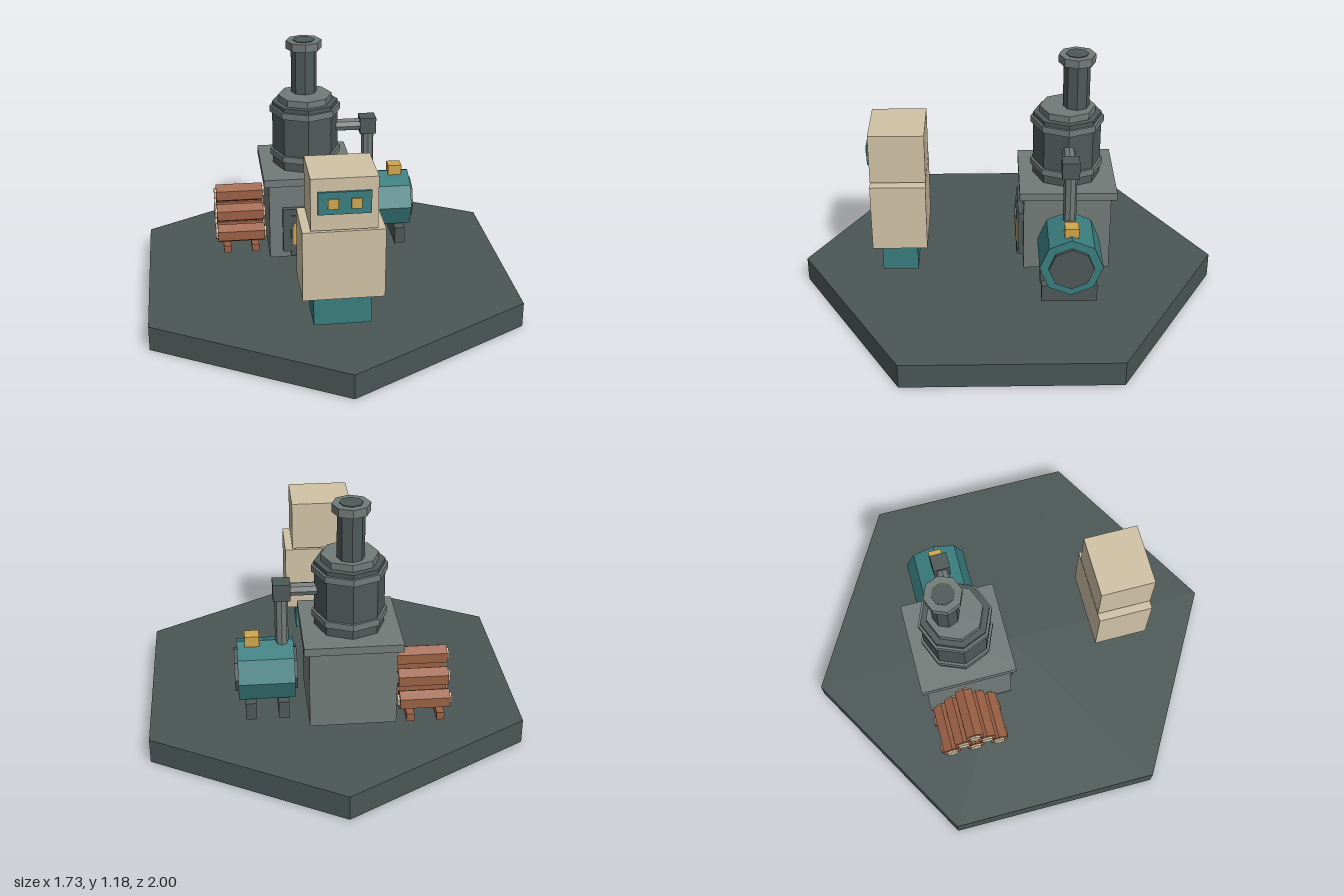
import * as THREE from 'three';

export function createModel() {
  const root = new THREE.Group();
  const mat = (name, color) => {
    const m = new THREE.MeshStandardMaterial({ color, flatShading: true });
    m.name = name;
    return m;
  };
  const slate = mat('slate', 0x4a5655);
  const iron = mat('dark iron', 0x4f5958);
  const stone = mat('grey stone', 0x727b79);
  const cream = mat('cream', 0xd0c2a5);
  const teal = mat('teal', 0x3a7d7f);
  const gold = mat('gold', 0xcfa64c);
  const wood = mat('wood', 0x9c6045);

  const group = (name) => {
    const g = new THREE.Group();
    g.name = name;
    root.add(g);
    return g;
  };
  const add = (parent, name, geo, material) => {
    const mesh = new THREE.Mesh(geo, material);
    mesh.name = name;
    parent.add(mesh);
    return mesh;
  };
  // Box given by its limits on each axis
  const box = (parent, name, material, [x0, x1], [y0, y1], [z0, z1]) => {
    const mesh = add(parent, name, new THREE.BoxGeometry(x1 - x0, y1 - y0, z1 - z0), material);
    mesh.position.set((x0 + x1) / 2, (y0 + y1) / 2, (z0 + z1) / 2);
    return mesh;
  };
  // Upright prism between two heights
  const post = (parent, name, material, r, y0, y1, x, z, sides = 8) => {
    const mesh = add(parent, name, new THREE.CylinderGeometry(r, r, y1 - y0, sides), material);
    mesh.position.set(x, (y0 + y1) / 2, z);
    return mesh;
  };
  // Prism lying along x
  const bar = (parent, name, material, r, x0, x1, y, z, sides = 8, turn = 0) => {
    const geo = new THREE.CylinderGeometry(r, r, x1 - x0, sides).rotateZ(Math.PI / 2).rotateX(turn);
    const mesh = add(parent, name, geo, material);
    mesh.position.set((x0 + x1) / 2, y, z);
    return mesh;
  };

  // Hexagonal base tile; everything on it stands at floor height
  post(root, 'base', slate, 1, 0, 0.12, 0, 0, 6);
  const floor = 0.14;

  // Robot
  const robot = group('robot');
  box(robot, 'legs', teal, [-0.13, 0.13], [floor, 0.29], [0.44, 0.61]);
  box(robot, 'body', cream, [-0.183, 0.183], [0.29, 0.62], [0.39, 0.65]);
  box(robot, 'head', cream, [-0.147, 0.147], [0.628, 0.87], [0.39, 0.65]);
  box(robot, 'visor', teal, [-0.116, 0.116], [0.706, 0.81], [0.645, 0.661]);
  for (const s of [-1, 1]) {
    box(robot, 'eye', gold, [s * 0.051 - 0.023, s * 0.051 + 0.023], [0.733, 0.78], [0.66, 0.668]);
  }

  // Furnace with fire door
  const cx = -0.07, cz = -0.28;
  const furnace = group('furnace');
  box(furnace, 'furnaceBlock', stone, [cx - 0.2, cx + 0.2], [floor, 0.53], [cz - 0.205, cz + 0.21]);
  box(furnace, 'furnaceSlab', stone, [cx - 0.225, cx + 0.225], [0.527, 0.565], [cz - 0.23, cz + 0.23]);
  box(furnace, 'doorFrame', iron, [cx - 0.136, cx + 0.136], [0.18, 0.408], [-0.08, -0.045]);
  box(furnace, 'door', iron, [cx - 0.097, cx + 0.097], [0.16, 0.375], [-0.08, -0.038]);
  box(furnace, 'fireWindow', gold, [cx - 0.087, cx + 0.087], [0.222, 0.335], [-0.04, -0.034]);

  // Boiler
  const boiler = group('boiler');
  post(boiler, 'boilerBody', iron, 0.162, 0.56, 0.887, cx, cz);
  for (const y of [0.61, 0.835]) post(boiler, 'boilerBand', stone, 0.174, y, y + 0.032, cx, cz);
  post(boiler, 'boilerCap', stone, 0.132, 0.88, 0.92, cx, cz);

  // Chimney, set slightly back on the boiler
  const chimney = group('chimney');
  post(chimney, 'chimneyStack', iron, 0.063, 0.9, 1.145, cx, -0.32);
  post(chimney, 'chimneyRim', stone, 0.087, 1.14, 1.18, cx, -0.32);
  post(chimney, 'chimneyMouth', iron, 0.053, 1.175, 1.184, cx, -0.32);

  // Steam pipe
  const pipe = group('steamPipe');
  bar(pipe, 'pipeAcross', stone, 0.031, 0.04, 0.21, 0.748, cz);
  box(pipe, 'elbow', iron, [0.2, 0.28], [0.708, 0.79], [-0.32, -0.24]);
  post(pipe, 'pipeDown', stone, 0.031, 0.46, 0.72, 0.242, cz);

  // Tank on feet
  const tank = group('tank');
  bar(tank, 'tankBody', teal, 0.147, 0.19, 0.45, 0.342, cz);
  bar(tank, 'tankEnds', iron, 0.105, 0.176, 0.465, 0.342, cz);
  box(tank, 'valve', gold, [0.347, 0.414], [0.47, 0.527], [-0.313, -0.249]);
  for (const x of [0.243, 0.395]) {
    box(tank, 'tankFoot', iron, [x - 0.025, x + 0.025], [floor, 0.226], [-0.405, -0.145]);
  }

  // Log stack: rows of three, two and one on two skids
  const logs = group('logStack');
  for (const x of [-0.477, -0.337]) {
    box(logs, 'skid', wood, [x - 0.018, x + 0.018], [floor, 0.178], [-0.485, -0.145]);
  }
  for (let row = 0; row < 3; row++) {
    for (let i = 0; i < 3 - row; i++) {
      const y = 0.225 + row * 0.084;
      const z = -0.315 + (i - (2 - row) / 2) * 0.118;
      bar(logs, 'log', wood, 0.048, -0.522, -0.289, y, z, 6, Math.PI / 6);
      bar(logs, 'logEnds', cream, 0.03, -0.532, -0.279, y, z, 6, Math.PI / 6);
    }
  }
  return root;
}
